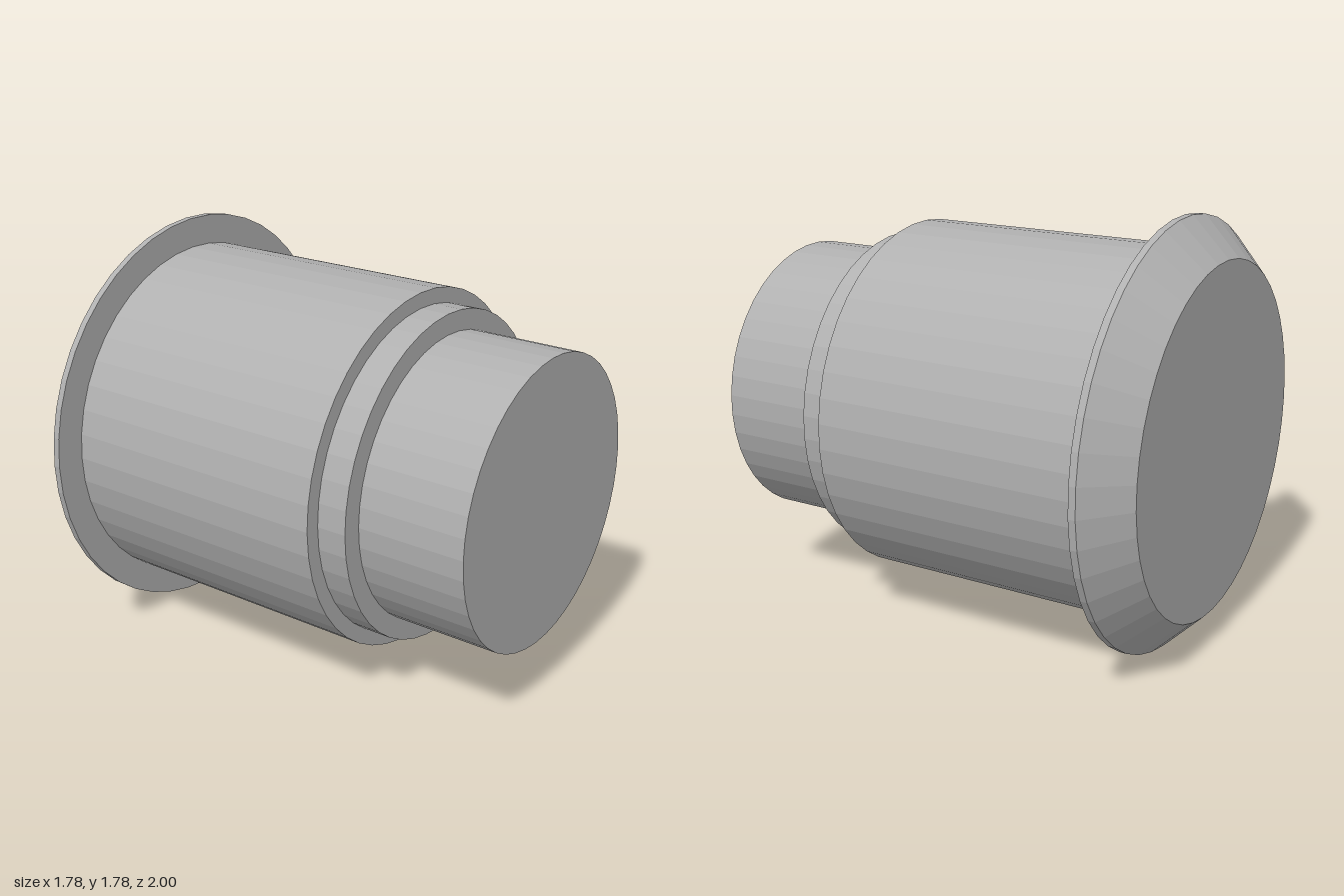
import * as THREE from 'three';

const SIDES = 45;
const AXIS_HEIGHT = 0.893;

export function createModel() {
  const model = new THREE.Group();
  model.name = 'steppedPlug';
  const grey = new THREE.MeshStandardMaterial({ color: 0xb0b0b0, flatShading: true });
  grey.name = 'plain grey';

  // Turns a [radius, z] profile, listed from back to front, about the z axis
  function addTurned(name, profile) {
    const points = profile.map(([r, z]) => new THREE.Vector2(r, z));
    const geometry = new THREE.LatheGeometry(points, SIDES, -Math.PI / 2);
    geometry.rotateX(Math.PI / 2);
    const mesh = new THREE.Mesh(geometry, grey);
    mesh.name = name;
    mesh.position.y = AXIS_HEIGHT;
    model.add(mesh);
  }

  // Bevelled rear flange with its closed end and front shoulder
  addTurned('flange', [[0, -1], [0.733, -1], [0.893, -0.84], [0.893, -0.81], [0.765, -0.81]]);
  // Main barrel
  addTurned('barrel', [[0.765, -0.81], [0.765, 0.403], [0.7, 0.403]]);
  // Narrow step in front of the barrel
  addTurned('collar', [[0.7, 0.403], [0.7, 0.532], [0.613, 0.532]]);
  // Front spigot with its closed end
  addTurned('spigot', [[0.613, 0.532], [0.613, 1], [0, 1]]);

  return model;
}
